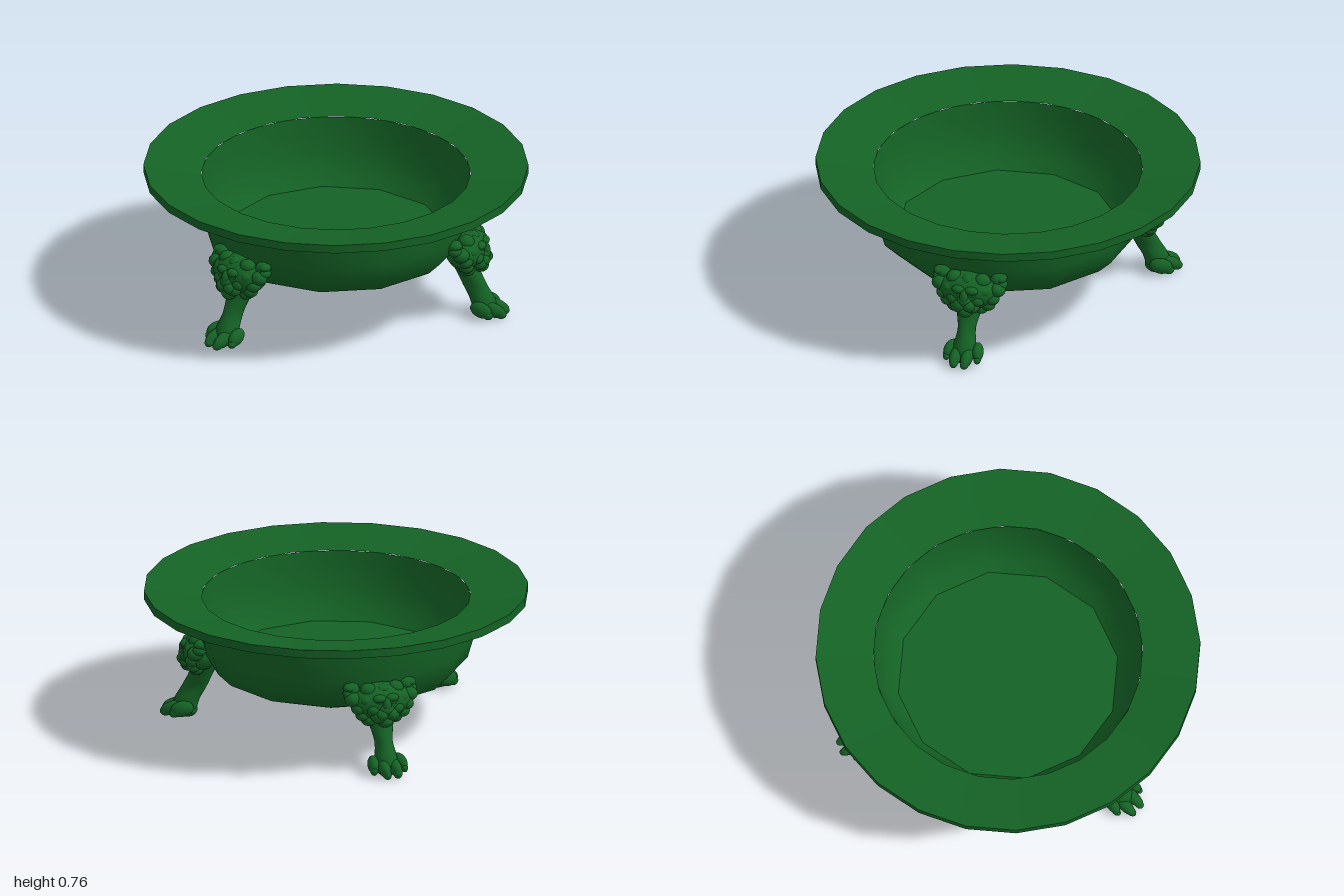
import * as THREE from 'three';
import { mergeVertices } from 'three/addons/utils/BufferGeometryUtils.js';

const green = new THREE.MeshStandardMaterial({ color: 0x146225 });

function add(parent, name, geometry) {
  const mesh = new THREE.Mesh(geometry, green);
  mesh.name = name;
  parent.add(mesh);
  return mesh;
}

function lathe(parent, name, profile, sides, start = 0) {
  const points = profile.map(([r, y]) => new THREE.Vector2(r, y));
  return add(parent, name, new THREE.LatheGeometry(points, sides, start));
}

// Round wall of 24 sides that turns into 12 sides between heights `round` and `faceted`
function facetedLathe(parent, name, profile, start, round, faceted) {
  const pos = lathe(parent, name, profile, 24, start).geometry.attributes.position;
  for (let i = 0; i < pos.count; i++) {
    const column = Math.floor(i / profile.length);
    if (column % 2 === 0) continue;
    const t = 1 - THREE.MathUtils.smoothstep(pos.getY(i), faceted, round);
    const k = 1 - t * (1 - Math.cos(Math.PI / 12));
    pos.setXYZ(i, pos.getX(i) * k, pos.getY(i), pos.getZ(i) * k);
  }
}

function blob(parent, name, [x, y, z], [rx, ry, rz]) {
  const mesh = add(parent, name, new THREE.SphereGeometry(1, 14, 10));
  mesh.position.set(x, y, z);
  mesh.scale.set(rx, ry, rz);
  return mesh;
}

// Blob on both sides of the leg's centre plane
function blobPair(parent, name, [x, y, z], size, turn = 0, tilt = 0) {
  for (const s of [1, -1]) {
    blob(parent, name, [s * x, y, z], size).rotation.set(tilt, s * turn, 0);
  }
}

// Curved shank: a cylinder whose rings follow sections [y, z, rx, rz]
function shankGeometry(sections) {
  const centre = new THREE.CatmullRomCurve3(sections.map(([y, z]) => new THREE.Vector3(0, y, z)));
  const radii = new THREE.CatmullRomCurve3(sections.map(([, , rx, rz]) => new THREE.Vector3(rx, 0, rz)));
  const geometry = new THREE.CylinderGeometry(1, 1, 1, 20, 24);
  const pos = geometry.attributes.position;
  for (let i = 0; i < pos.count; i++) {
    const t = 0.5 - pos.getY(i);
    const c = centre.getPoint(t), r = radii.getPoint(t);
    pos.setXYZ(i, pos.getX(i) * r.x, c.y, c.z + pos.getZ(i) * r.z);
  }
  geometry.deleteAttribute('normal');
  geometry.deleteAttribute('uv');
  const merged = mergeVertices(geometry);
  merged.computeVertexNormals();
  return merged;
}

function createLeg() {
  const leg = new THREE.Group();
  leg.name = 'leg';

  add(leg, 'shank', shankGeometry([
    [0.40, 0.655, 0.085, 0.06], [0.30, 0.69, 0.078, 0.065], [0.23, 0.718, 0.06, 0.063],
    [0.16, 0.752, 0.046, 0.065], [0.10, 0.785, 0.056, 0.066], [0.05, 0.80, 0.062, 0.066], [0.005, 0.80, 0.045, 0.05],
  ]));

  // Paw: long, low inner toes with a notch between, shorter raised outer toes
  const paw = new THREE.Group();
  paw.name = 'paw';
  leg.add(paw);
  blobPair(paw, 'innerToe', [0.029, 0.047, 0.84], [0.032, 0.04, 0.085], 0.04, 0.22);
  blobPair(paw, 'innerClaw', [0.029, 0.026, 0.895], [0.022, 0.025, 0.031]);
  blobPair(paw, 'outerToe', [0.073, 0.057, 0.80], [0.031, 0.042, 0.062], 0.2, 0.2);
  blobPair(paw, 'outerClaw', [0.083, 0.035, 0.84], [0.019, 0.024, 0.028]);
  blob(paw, 'heel', [0, 0.035, 0.77], [0.05, 0.033, 0.038]);

  // Mane: backing shield covered by rows of soft curls [y, half width, count, depth]
  const mane = new THREE.Group();
  mane.name = 'mane';
  leg.add(mane);
  blob(mane, 'maneBack', [0, 0.37, 0.705], [0.17, 0.1, 0.105]);
  const rows = [
    [0.44, 0.15, 5, 0.735], [0.395, 0.155, 6, 0.77], [0.35, 0.13, 5, 0.787],
    [0.312, 0.11, 4, 0.788], [0.283, 0.072, 3, 0.78],
  ];
  rows.forEach(([y, half, count, depth], row) => {
    for (let i = 0; i < count; i++) {
      const u = (2 * i) / (count - 1) - 1;
      const r = 0.041 + 0.004 * Math.sin(i * 2.3 + row * 1.7);
      blob(mane, 'curl', [u * half, y, depth - 0.055 * u * u], [r, r * 0.85, r]);
    }
  });
  blobPair(mane, 'upperTuft', [0.168, 0.45, 0.685], [0.03, 0.022, 0.036]);
  blobPair(mane, 'sideTuft', [0.175, 0.418, 0.69], [0.026, 0.026, 0.036]);

  // Face in the middle of the mane
  blobPair(mane, 'brow', [0.035, 0.41, 0.79], [0.036, 0.022, 0.027]);
  blob(mane, 'nose', [0, 0.37, 0.805], [0.024, 0.045, 0.026]);
  blobPair(mane, 'cheek', [0.027, 0.325, 0.803], [0.033, 0.032, 0.034]);
  return leg;
}

export function createModel() {
  const model = new THREE.Group();
  model.name = 'footedBowl';

  // Wide rim, dished slightly towards the opening
  const rim = new THREE.Group();
  rim.name = 'rim';
  model.add(rim);
  lathe(rim, 'rimUnderside', [[0.7, 0.672], [1, 0.715]], 24);
  lathe(rim, 'rimEdge', [[1, 0.715], [1, 0.76]], 24);
  lathe(rim, 'rimTop', [[1, 0.76], [0.7, 0.712]], 24);

  // Outer shell, round under the rim and faceted below
  const turn = Math.PI / 24;
  facetedLathe(model, 'bowlOutside', [
    [0.001, 0.222], [0.26, 0.238], [0.48, 0.262], [0.61, 0.31], [0.685, 0.385], [0.712, 0.48], [0.726, 0.6], [0.73, 0.685],
  ], turn, 0.68, 0.42);

  // Inner wall, ending in a flat twelve-sided floor
  facetedLathe(model, 'bowlInside', [
    [0.703, 0.71], [0.692, 0.63], [0.672, 0.53], [0.635, 0.44], [0.578, 0.37],
  ], -turn, 0.68, 0.37);
  lathe(model, 'bowlFloor', [[0.578, 0.37], [0.001, 0.37]], 12, -turn);

  // Three legs, one at the front
  for (let i = 0; i < 3; i++) {
    const leg = createLeg();
    leg.rotation.y = (i * Math.PI * 2) / 3;
    model.add(leg);
  }
  return model;
}
